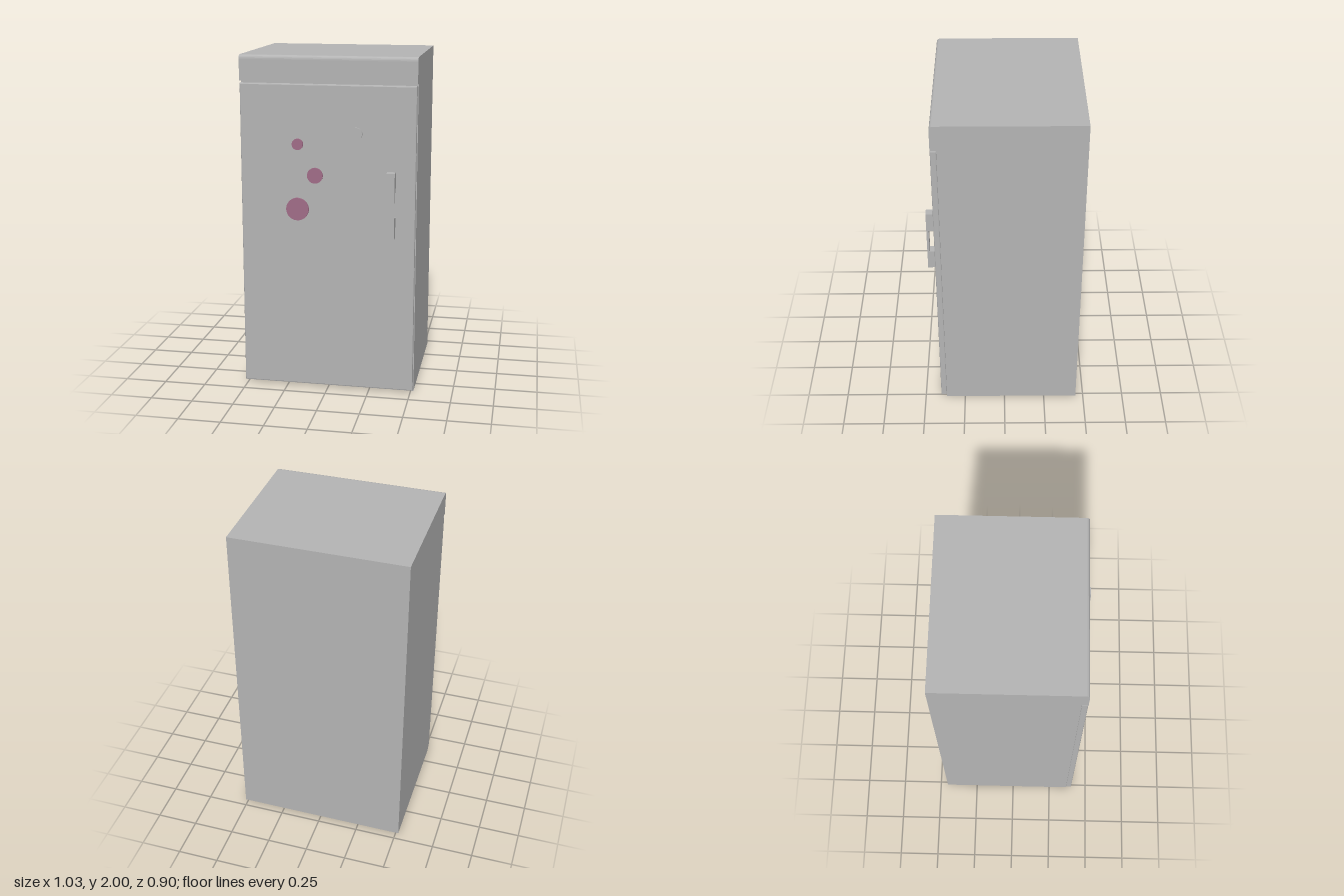
import * as THREE from 'three';

const grey = new THREE.MeshStandardMaterial({ name: 'enamelGrey', color: 0xb4b4b4 });
const plum = new THREE.MeshStandardMaterial({ name: 'magnetPlum', color: 0xa06c87 });

// Extrudes a side profile drawn in (z, y) across the width, centred on x
function extrudeSide(shape, width, x = 0) {
  const geometry = new THREE.ExtrudeGeometry(shape, { depth: width, bevelEnabled: false, curveSegments: 6 });
  return geometry.rotateY(-Math.PI / 2).translate(x + width / 2, 0, 0);
}

function addPart(parent, name, geometry, material) {
  const mesh = new THREE.Mesh(geometry, material);
  mesh.name = name;
  parent.add(mesh);
  return mesh;
}

export function createModel() {
  const model = new THREE.Group();
  model.name = 'refrigerator';
  const front = 0.402, back = -0.453, recess = 0.366;

  // Cabinet with a top lip that overhangs the door and has a rounded front edge
  const side = new THREE.Shape();
  side.moveTo(back, 0);
  side.lineTo(recess, 0);
  side.lineTo(recess, 1.85);
  side.lineTo(front, 1.85);
  side.lineTo(front, 1.975);
  side.quadraticCurveTo(front, 2, front - 0.025, 2);
  side.lineTo(back, 2);
  side.closePath();
  addPart(model, 'cabinet', extrudeSide(side, 1.034), grey);

  // Door slab with a fine bevel around its front edge
  const bevel = 0.006, x0 = -0.516, x1 = 0.513, y0 = 0.014, y1 = 1.838;
  const face = new THREE.Shape();
  face.moveTo(x0 + bevel, y0 + bevel);
  face.lineTo(x1 - bevel, y0 + bevel);
  face.lineTo(x1 - bevel, y1 - bevel);
  face.lineTo(x0 + bevel, y1 - bevel);
  face.closePath();
  const door = new THREE.ExtrudeGeometry(face, {
    depth: front - recess - 2 * bevel, bevelThickness: bevel, bevelSize: bevel, bevelSegments: 2,
  });
  addPart(model, 'door', door.translate(0, 0, recess + bevel), grey);

  // Bracket-shaped handle on the model's left
  const grip = new THREE.Shape();
  [[0.4, 0.96], [0.452, 0.96], [0.452, 1.346], [0.4, 1.346], [0.4, 1.23], [0.438, 1.23], [0.438, 1.08], [0.4, 1.08]]
    .forEach(([z, y], i) => (i ? grip.lineTo(z, y) : grip.moveTo(z, y)));
  addPart(model, 'handle', extrudeSide(grip, 0.05, 0.374), grey);

  // Round magnets on the door
  const magnets = [
    [-0.175, 1.491, 0.033, 0.013, plum],
    [-0.073, 1.31, 0.046, 0.013, plum],
    [-0.178, 1.107, 0.067, 0.013, plum],
    [0.167, 1.56, 0.037, 0.01, grey],
  ];
  magnets.forEach(([x, y, radius, depth, material], i) => {
    const disc = new THREE.CylinderGeometry(radius, radius, depth, 32).rotateX(Math.PI / 2);
    addPart(model, `magnet${i + 1}`, disc, material).position.set(x, y, front + depth / 2);
  });
  return model;
}
